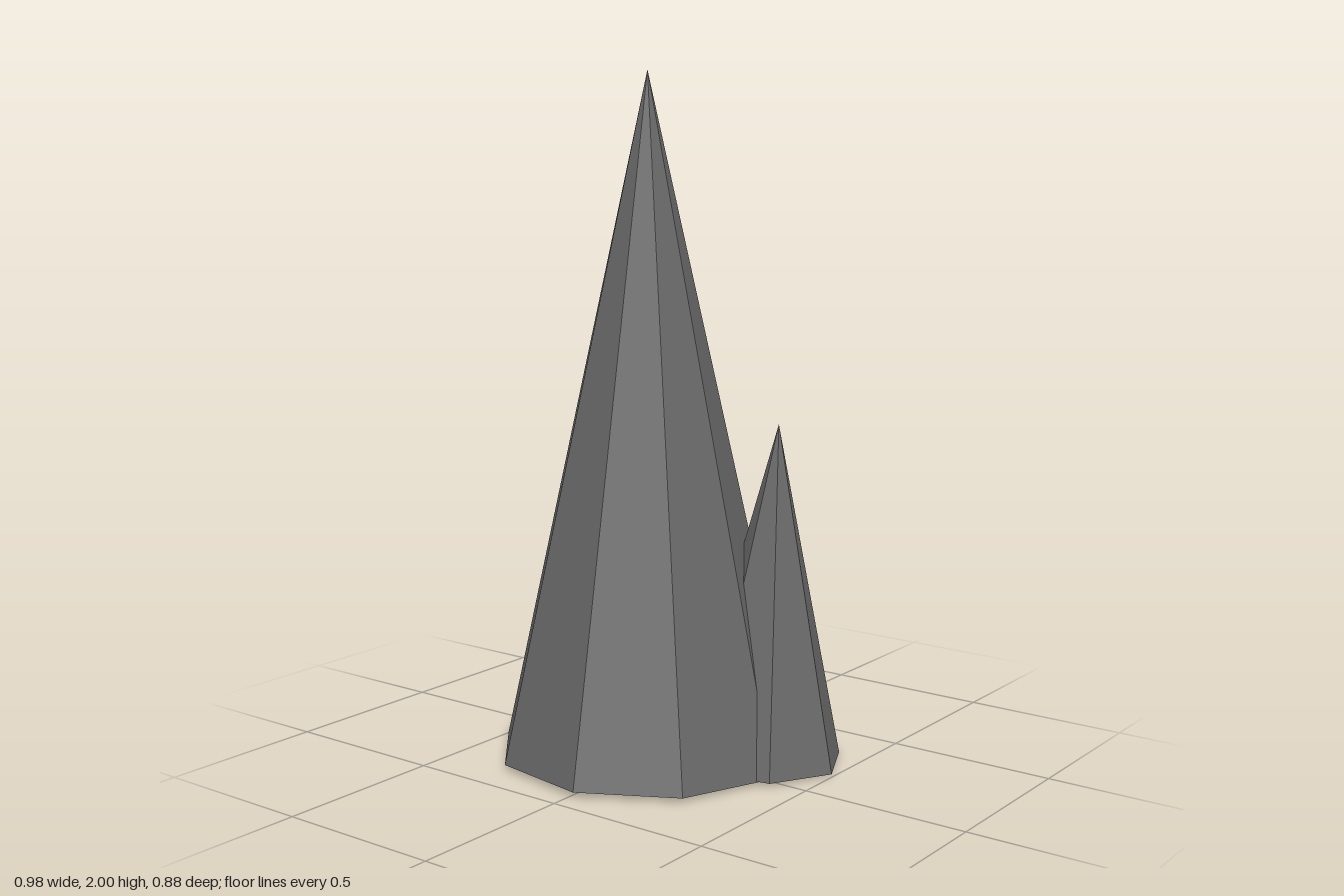
import * as THREE from 'three';

// Faceted spike with its base centre, a slightly leaning tip and a slightly sloping underside
function makeSpike(name, { radius, sides, base, tip, slopeX, slopeZ }, material) {
  const geometry = new THREE.ConeGeometry(radius, 1, sides, 1);
  geometry.translate(0, 0.5, 0).rotateY(Math.PI / 2);
  const p = geometry.attributes.position;
  for (let i = 0; i < p.count; i++) {
    const x = p.getX(i), y = p.getY(i), z = p.getZ(i);
    if (y > 0.5) p.setXYZ(i, ...tip);
    else p.setXYZ(i, base[0] + x, base[1] + slopeX * x + slopeZ * z, base[2] + z);
  }
  geometry.computeVertexNormals();
  const mesh = new THREE.Mesh(geometry, material);
  mesh.name = name;
  return mesh;
}

export function createModel() {
  const group = new THREE.Group();
  group.name = 'rockSpikes';
  const stone = new THREE.MeshStandardMaterial({ color: 0x686868, flatShading: true });
  stone.name = 'grey stone';

  // Tall nine-sided spike
  group.add(makeSpike('tallSpike', {
    radius: 0.447, sides: 9, base: [-0.06, 0.011, 0], tip: [-0.06, 2, -0.003], slopeX: 0, slopeZ: 0.02,
  }, stone));

  // Short seven-sided spike growing from its side
  group.add(makeSpike('shortSpike', {
    radius: 0.238, sides: 7, base: [0.257, 0.01, -0.143], tip: [0.283, 1, -0.172], slopeX: -0.01, slopeZ: 0.03,
  }, stone));

  return group;
}
